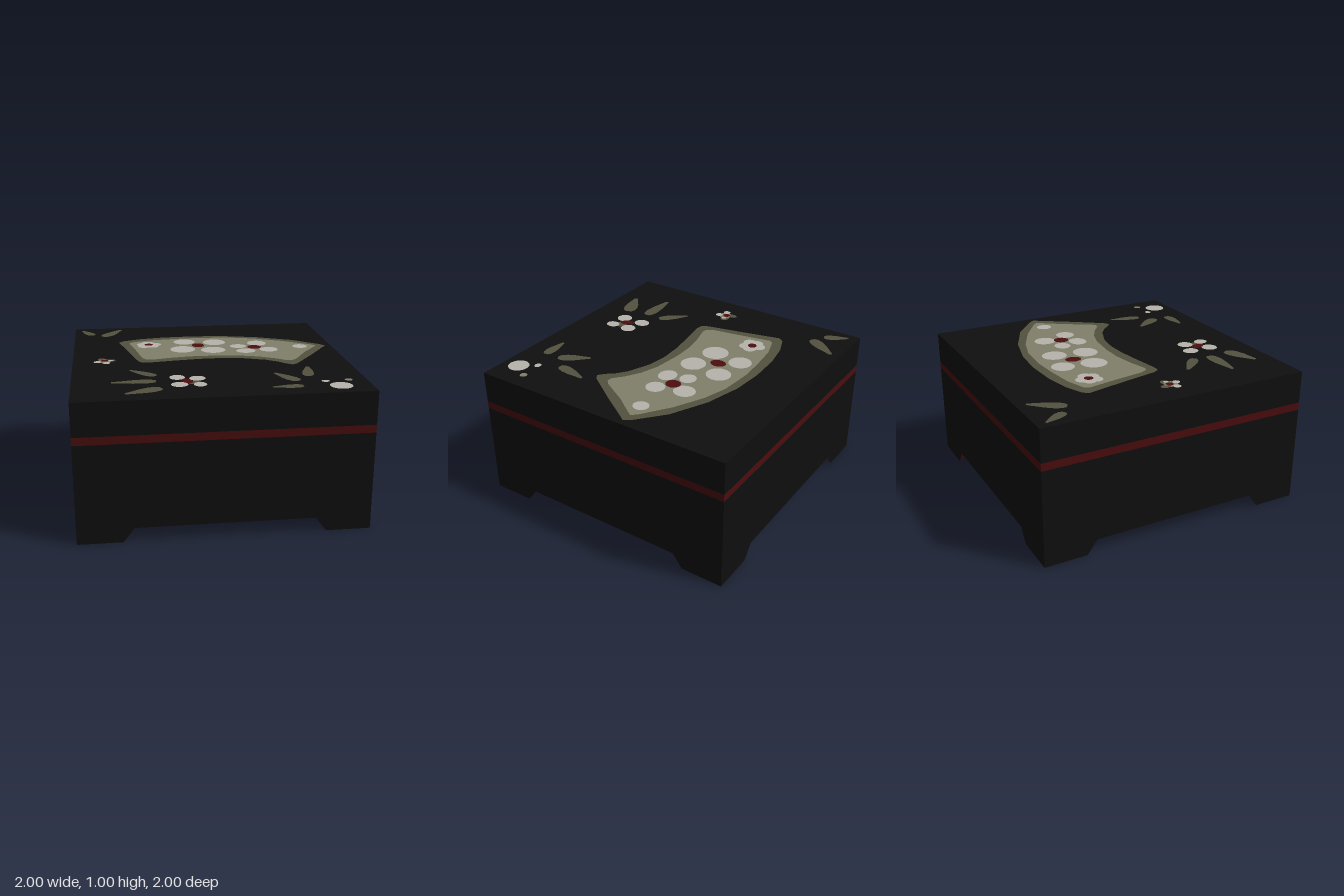
import * as THREE from 'three';

const mat = (name, color, side = THREE.FrontSide) =>
  Object.assign(new THREE.MeshStandardMaterial({ color, side }), { name });

const TOP = 0.99;

export function createModel() {
  const black = mat('black lacquer', 0x0f0f0f);
  const red = mat('dark red lacquer', 0x4c0d0f);
  const olive = mat('dark olive', 0x53513e);
  const sage = mat('pale olive', 0x80806a);
  const white = mat('shell white', 0xb6b4ac);

  const model = new THREE.Group();
  model.name = 'lacquerBox';
  const add = (parent, name, geometry, material) => {
    const mesh = new THREE.Mesh(geometry, material);
    mesh.name = name;
    parent.add(mesh);
    return mesh;
  };
  const group = (name) => {
    const g = new THREE.Group();
    g.name = name;
    model.add(g);
    return g;
  };

  // Body, band and lid, stacked flush; the underside is red
  const slab = (name, y0, y1, material) => {
    add(model, name, new THREE.BoxGeometry(2, y1 - y0, 2), material).position.y = (y0 + y1) / 2;
  };
  slab('body', 0.1, 0.7, [black, black, black, red, black, black]);
  slab('band', 0.7, 0.755, red);
  slab('lid', 0.755, TOP, black);

  // Corner feet: tapered triangular blocks, black outside, red inside and below
  const a = [1, 0, 1], b = [0.69, 0, 1], c = [1, 0, 0.69];
  const A = [1, 0.1, 1], B = [0.615, 0.1, 1], C = [1, 0.1, 0.615];
  const quad = (p, q, r, s) => [p, q, r, p, r, s];
  const corners = [...quad(b, a, A, B), ...quad(a, c, C, A), ...quad(c, b, B, C), a, b, c];
  const footGeo = new THREE.BufferGeometry();
  footGeo.setAttribute('position', new THREE.Float32BufferAttribute(corners.flat(), 3));
  footGeo.addGroup(0, 12, 0);
  footGeo.addGroup(12, 9, 1);
  footGeo.computeVertexNormals();
  for (let i = 0; i < 4; i++) {
    add(model, 'foot' + (i + 1), footGeo, [black, red]).rotation.y = (i * Math.PI) / 2;
  }

  // Flat inlays on the lid; layer sets the stacking order
  const inlay = (parent, name, shape, material, layer) => {
    const geo = new THREE.ShapeGeometry(shape, 12).rotateX(-Math.PI / 2);
    return add(parent, name, geo, material).position.y = TOP + layer * 0.0015;
  };
  const outline = (pts) => new THREE.Shape(pts.map(([x, z]) => new THREE.Vector2(x, -z)));
  const dot = (parent, name, material, layer, x, z, rx, rz = rx, turn = 0) => {
    const s = new THREE.Shape();
    s.absellipse(x, -z, rx, rz, 0, Math.PI * 2, false, turn);
    inlay(parent, name, s, material, layer);
  };

  // Fan panel with a darker border
  const fan = group('fanPanel');
  inlay(fan, 'fanBorder', outline([
    [-0.65, -0.49], [-0.62, -0.53], [-0.48, -0.585], [-0.29, -0.62], [-0.05, -0.63],
    [0.19, -0.61], [0.46, -0.54], [0.73, -0.41], [0.92, -0.25], [0.955, -0.2],
    [0.92, -0.15], [0.78, 0.06], [0.62, 0.285], [0.58, 0.31], [0.535, 0.275],
    [0.49, 0.22], [0.41, 0.16], [0.25, 0.095], [0.09, 0.07], [-0.07, 0.075],
    [-0.26, 0.1], [-0.45, 0.13], [-0.5, 0.125], [-0.525, 0.08], [-0.58, -0.18],
  ]), olive, 1);
  inlay(fan, 'fanField', outline([
    [-0.57, -0.45], [-0.55, -0.48], [-0.4, -0.53], [-0.18, -0.555], [0, -0.565],
    [0.245, -0.545], [0.43, -0.49], [0.65, -0.38], [0.85, -0.24], [0.88, -0.205],
    [0.85, -0.16], [0.75, -0.025], [0.635, 0.17], [0.6, 0.2], [0.56, 0.195],
    [0.49, 0.135], [0.38, 0.07], [0.245, 0.025], [0.03, 0], [-0.13, 0],
    [-0.29, 0.025], [-0.42, 0.06], [-0.46, 0.055], [-0.49, 0], [-0.53, -0.24],
  ]), sage, 2);

  // Blossoms: white petals around a red centre, each [x, z, rx, rz, turn]
  const flower = (name, centre, petals) => {
    const g = group(name);
    petals.forEach((p) => dot(g, 'petal', white, 3, ...p));
    if (centre) dot(g, 'flowerCentre', red, 4, ...centre);
    return g;
  };
  flower('smallFanFlower', [-0.42, -0.38, 0.033], [
    [-0.425, -0.43, 0.05], [-0.375, -0.385, 0.052], [-0.39, -0.335, 0.045],
    [-0.455, -0.34, 0.05], [-0.465, -0.395, 0.048], [-0.42, -0.38, 0.05],
  ]);
  flower('largeFanFlower', [-0.038, -0.313, 0.048, 0.06], [
    [-0.135, -0.44, 0.085], [0.1, -0.4, 0.088, 0.092],
    [-0.168, -0.21, 0.096, 0.098], [0.063, -0.165, 0.094, 0.092],
  ]);
  flower('middleFanFlower', [0.39, -0.21, 0.053, 0.056], [
    [0.43, -0.33, 0.075, 0.08], [0.27, -0.255, 0.064, 0.06],
    [0.308, -0.108, 0.075, 0.066], [0.49, -0.13, 0.07],
  ]);
  flower('fanBud', null, [[0.748, -0.195, 0.056, 0.058]]);

  const front = flower('frontFlower', [-0.22, 0.64, 0.036, 0.055, 0.35], [
    [-0.28, 0.543, 0.053, 0.06], [-0.145, 0.58, 0.056, 0.058],
    [-0.278, 0.71, 0.058], [-0.14, 0.722, 0.045, 0.052],
  ]);
  dot(front, 'leafBit', olive, 2, -0.175, 0.665, 0.045);

  const side = flower('sideFlower', [-0.77, 0.055, 0.027], [
    [-0.822, 0.082, 0.027], [-0.755, 0.115, 0.027], [-0.722, 0.052, 0.018],
  ]);
  dot(side, 'olivePetal', olive, 2, -0.79, 0.01, 0.027, 0.035);
  dot(side, 'olivePetal', olive, 2, -0.725, 0.045, 0.038, 0.034);
  dot(side, 'flowerBase', sage, 2, -0.77, 0.065, 0.05);

  const buds = flower('cornerBuds', null, [
    [0.785, 0.865, 0.077], [0.707, 0.752, 0.028, 0.024],
  ]);
  dot(buds, 'paleBud', sage, 3, 0.87, 0.74, 0.027);

  // Leaves: teardrops from a narrow tip to a round end [tipX, tipZ, endX, endZ, halfWidth]
  const leaves = group('leaves');
  [
    [-0.94, -0.93, -0.85, -0.76, 0.038], [-0.625, -0.93, -0.775, -0.7, 0.048],
    [-0.595, 0.315, -0.42, 0.485, 0.04], [-0.73, 0.605, -0.42, 0.605, 0.048],
    [-0.645, 0.865, -0.395, 0.765, 0.055], [0.405, 0.51, 0.535, 0.72, 0.046],
    [0.672, 0.375, 0.62, 0.62, 0.042], [0.325, 0.835, 0.545, 0.83, 0.04],
  ].forEach(([x0, z0, x1, z1, w]) => {
    const dx = x1 - x0, dz = z1 - z0, len = Math.hypot(dx, dz);
    const at = (t, side) => [x0 + dx * t - (dz / len) * w * side, z0 + dz * t + (dx / len) * w * side];
    const edge = [[0, 0.25], [0.2, 0.5], [0.45, 0.85], [0.7, 1], [0.87, 0.85], [0.97, 0.45]];
    const pts = [...edge.map(([t, s]) => at(t, s)), ...edge.reverse().map(([t, s]) => at(t, -s))];
    inlay(leaves, 'leaf', outline(pts), olive, 1);
  });

  return model;
}
